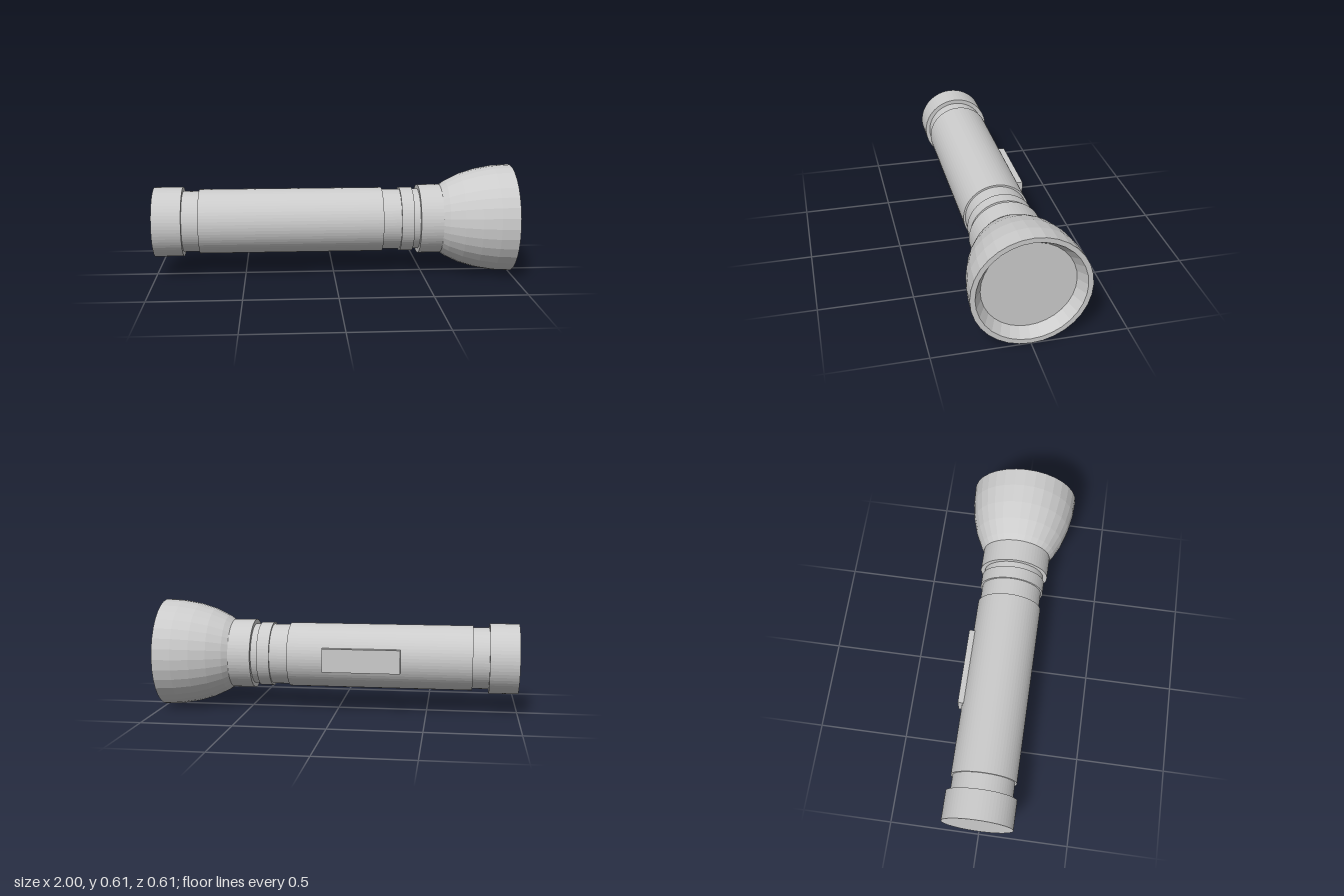
import * as THREE from 'three';

export function createModel() {
  const model = new THREE.Group();
  model.name = 'flashlight';
  const axisY = 0.305;
  const material = new THREE.MeshStandardMaterial({ color: 0xcccccc, flatShading: true });

  function add(name, geometry) {
    const mesh = new THREE.Mesh(geometry, material);
    mesh.name = name;
    mesh.position.y = axisY;
    model.add(mesh);
    return mesh;
  }

  // Round section lying along x
  function section(name, x0, x1, radius) {
    const geometry = new THREE.CylinderGeometry(radius, radius, x1 - x0, 64);
    geometry.rotateZ(-Math.PI / 2);
    add(name, geometry).position.x = (x0 + x1) / 2;
  }

  // Handle: stepped cylinders from tail to head
  section('tailCap', -1, -0.84, 0.194);
  section('core', -0.85, 0.49, 0.17);
  section('grip', -0.75, 0.27, 0.18);
  section('ring', 0.37, 0.44, 0.18);
  section('collar', 0.475, 0.6, 0.194);

  // Bell-shaped head: elliptical outside
  const steps = 5;
  const profile = [];
  for (let i = steps; i >= 0; i--) {
    const angle = (i * Math.PI) / 16;
    profile.push(new THREE.Vector2(0.304 * Math.cos(angle), 1 - 0.52 * Math.sin(angle)));
  }
  // Flat rim and tapered inner wall
  profile.push(new THREE.Vector2(0.278, 1), new THREE.Vector2(0.24, 0.94));
  const head = new THREE.LatheGeometry(profile, 32);
  head.rotateZ(-Math.PI / 2);
  add('head', head);

  // Lens disc closing the recess
  const lens = new THREE.CircleGeometry(0.24, 32);
  lens.rotateY(Math.PI / 2);
  add('lens', lens).position.x = 0.94;

  // Switch plate on the back of the grip
  const plate = add('switchPlate', new THREE.BoxGeometry(0.43, 0.13, 0.06));
  plate.position.x = -0.145;
  plate.position.z = -0.17;

  return model;
}
